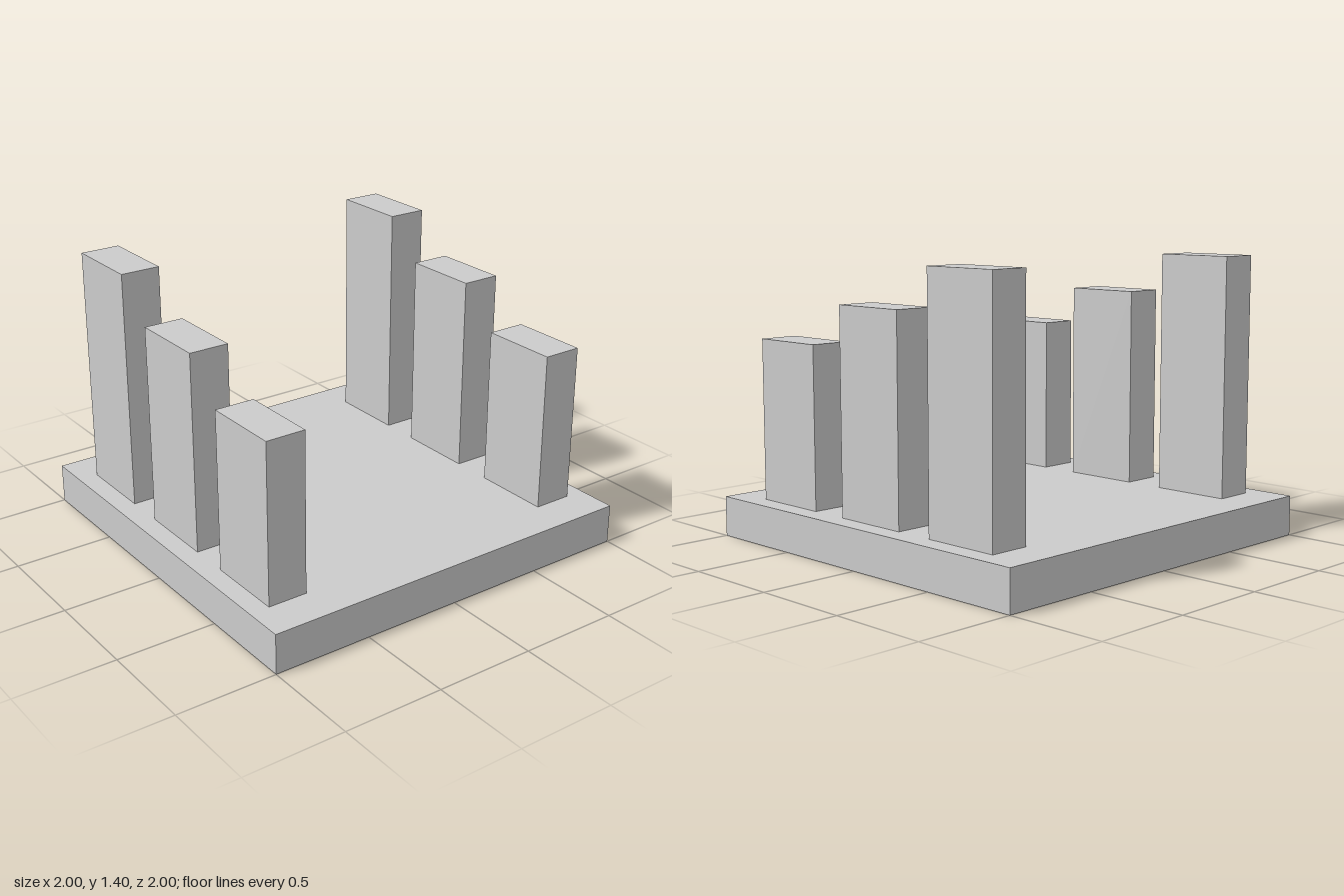
import * as THREE from 'three';

const material = new THREE.MeshStandardMaterial({ color: 0xcccccc, flatShading: true });

// Box standing on height y
function block(name, width, height, depth, x, y, z) {
  const mesh = new THREE.Mesh(new THREE.BoxGeometry(width, height, depth), material);
  mesh.name = name;
  mesh.position.set(x, y + height / 2, z);
  return mesh;
}

export function createModel() {
  const model = new THREE.Group();
  model.name = 'steppedPillars';

  const baseHeight = 0.2;
  model.add(block('base', 2, baseHeight, 2, 0, 0, 0));

  // Two mirrored rows of pillars, rising from front to back
  const rows = [
    { name: 'front', z: 0.6, height: 0.8 },
    { name: 'middle', z: 0, height: 1.0 },
    { name: 'back', z: -0.6, height: 1.2 },
  ];
  for (const [side, sign] of [['Left', 1], ['Right', -1]]) {
    for (const { name, z, height } of rows) {
      model.add(block(`${name}${side}Pillar`, 0.2, height, 0.4, sign * 0.8, baseHeight, z));
    }
  }
  return model;
}
